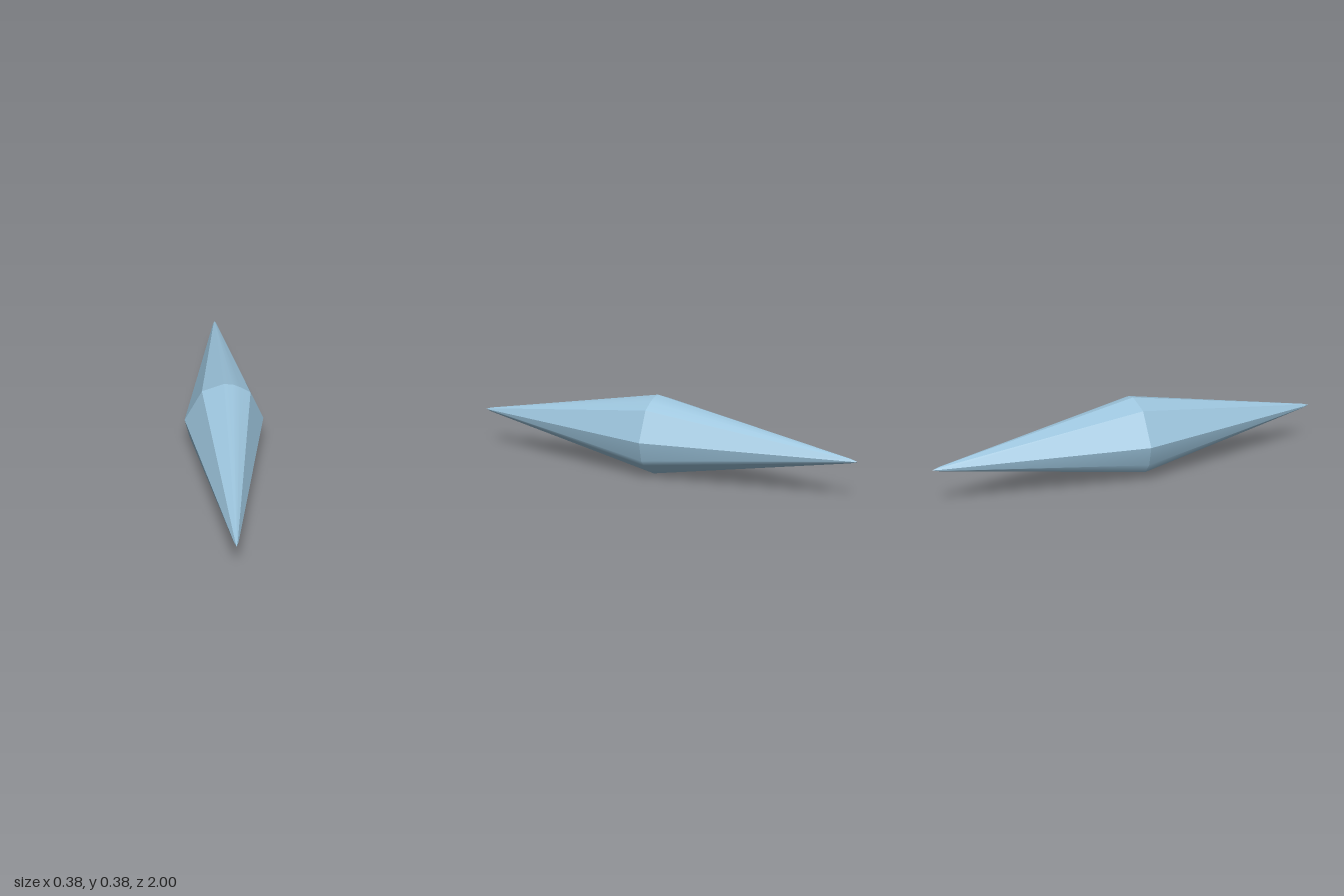
import * as THREE from 'three';

const CENTRE_Y = 0.19;

// Girdle outline at z = 0, split into smooth strips that meet at sharp edges
const STRIPS = [
  [[0, 0.38], [0.042, 0.375], [0.075, 0.361], [0.125, 0.33]],
  [[0.125, 0.33], [0.188, 0.188]],
  [[0.188, 0.188], [0.167, 0.096], [0.145, 0.069], [0.075, 0.017], [0.042, 0.002]],
  [[0.042, 0.002], [-0.127, 0.047]],
  [[-0.127, 0.047], [-0.167, 0.095], [-0.188, 0.188]],
  [[-0.188, 0.188], [-0.104, 0.343]],
  [[-0.104, 0.343], [0, 0.38]],
];

// Taper from girdle to slightly blunt tip: [z, scale]
const TAPER = [[0, 1], [0.965, 0.055], [1, 0]];

function stripGeometry(points, side) {
  const positions = [], index = [], n = points.length;
  for (const [z, s] of TAPER) {
    for (const [x, y] of points) {
      positions.push(x * s, CENTRE_Y + (y - CENTRE_Y) * s, z * side);
    }
  }
  const tri = (a, b, c) => index.push(...(side > 0 ? [a, b, c] : [a, c, b]));
  for (let r = 0; r < TAPER.length - 1; r++) {
    for (let i = 0; i < n - 1; i++) {
      const a = r * n + i, b = a + 1, c = a + n, d = b + n;
      tri(a, c, b);
      if (r < TAPER.length - 2) tri(b, c, d); // the last row closes to a point
    }
  }
  const geometry = new THREE.BufferGeometry();
  geometry.setAttribute('position', new THREE.Float32BufferAttribute(positions, 3));
  geometry.setIndex(index);
  geometry.computeVertexNormals();
  return geometry;
}

export function createModel() {
  const group = new THREE.Group();
  group.name = 'crystalShard';
  const paleBlue = new THREE.MeshStandardMaterial({ color: 0x9cc4dc });
  paleBlue.name = 'paleBlue';

  // Two pointed halves joined at the girdle
  for (const [name, side] of [['frontPoint', 1], ['backPoint', -1]]) {
    const half = new THREE.Group();
    half.name = name;
    STRIPS.forEach((points, i) => {
      const facet = new THREE.Mesh(stripGeometry(points, side), paleBlue);
      facet.name = `facet${i + 1}`;
      half.add(facet);
    });
    group.add(half);
  }
  return group;
}
